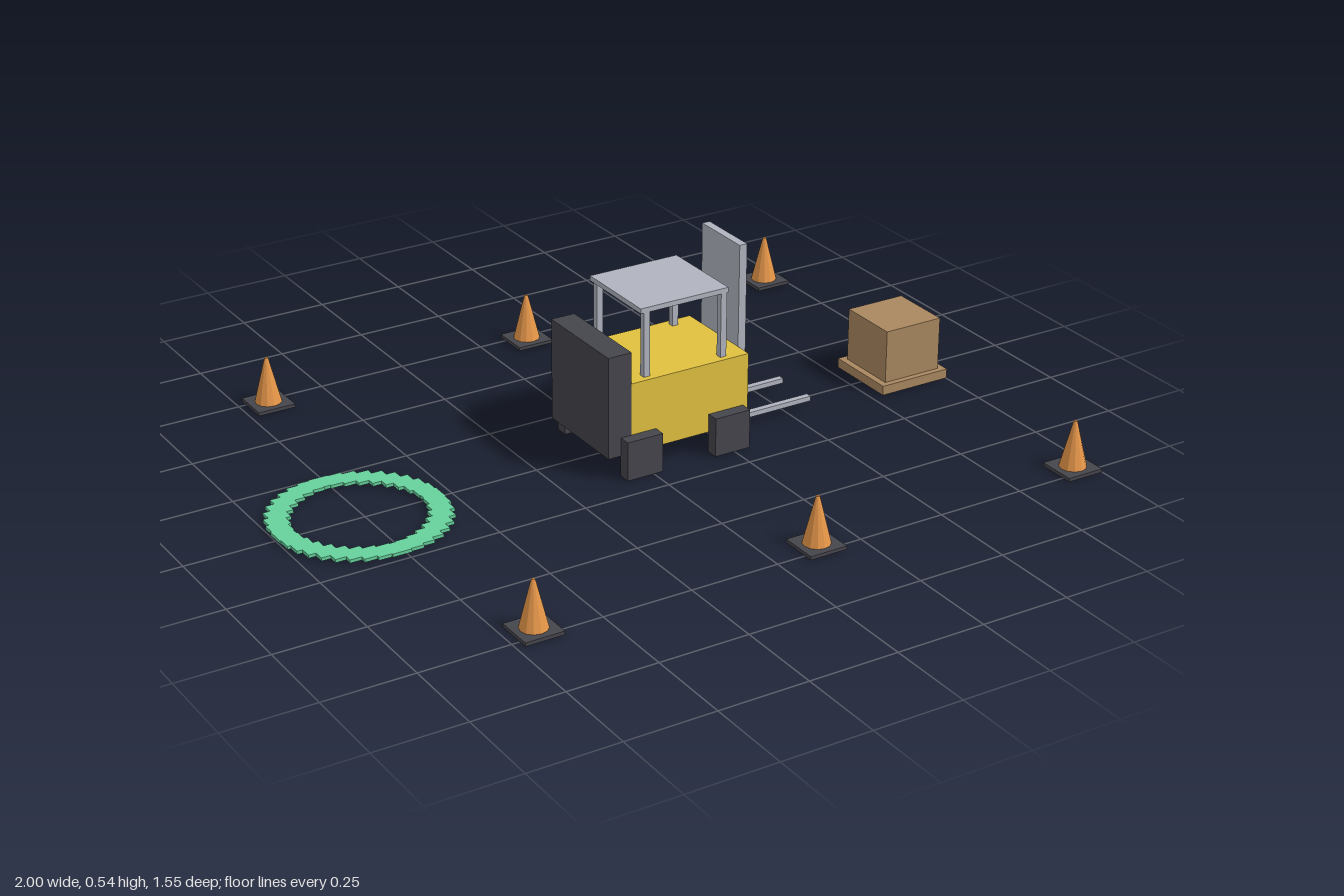
import * as THREE from 'three';

const mat = (color) => new THREE.MeshStandardMaterial({ color, flatShading: true });
const yellow = mat(0xe0c040), dark = mat(0x45454c), steel = mat(0xb0b4be);
const wood = mat(0xa98860), orange = mat(0xe8984a), green = mat(0x66d09c);

// Box given by its extents on each axis
function box(parent, name, material, [x0, x1], [y0, y1], [z0, z1]) {
  const mesh = new THREE.Mesh(new THREE.BoxGeometry(x1 - x0, y1 - y0, z1 - z0), material);
  mesh.position.set((x0 + x1) / 2, (y0 + y1) / 2, (z0 + z1) / 2);
  mesh.name = name;
  parent.add(mesh);
  return mesh;
}

function group(parent, name) {
  const g = new THREE.Group();
  g.name = name;
  parent.add(g);
  return g;
}

function buildForklift(parent) {
  const g = group(parent, 'forklift');
  box(g, 'body', yellow, [-0.1, 0.312], [0.058, 0.256], [-0.143, 0.143]);
  box(g, 'counterweight', dark, [-0.118, -0.048], [0.058, 0.345], [-0.144, 0.144]);
  box(g, 'mast', steel, [0.314, 0.337], [0.024, 0.543], [-0.09, 0.09]);
  box(g, 'roof', steel, [-0.01, 0.257], [0.437, 0.451], [-0.126, 0.126]);
  for (const s of [-1, 1]) {
    const side = (a, b) => (s > 0 ? [a, b] : [-b, -a]);
    // Square wheels, roof posts and fork on each side
    for (const x of [-0.08, 0.19]) box(g, 'wheel', dark, [x, x + 0.107], [0, 0.11], side(0.142, 0.178));
    for (const x of [0, 0.235]) box(g, 'roofPost', steel, [x, x + 0.018], [0.256, 0.437], side(0.108, 0.126));
    box(g, 'fork', steel, [0.337, 0.563], [0.028, 0.042], side(0.057, 0.075));
  }
}

function buildPallet(parent) {
  const g = group(parent, 'loadedPallet');
  box(g, 'pallet', wood, [0.782, 0.998], [0.003, 0.03], [-0.107, 0.107]);
  box(g, 'crate', wood, [0.801, 0.979], [0.03, 0.182], [-0.09, 0.09]);
}

function buildCone(parent, x, z) {
  const g = group(parent, 'trafficCone');
  box(g, 'coneBase', dark, [-0.054, 0.054], [0, 0.01], [-0.054, 0.054]);
  const cone = new THREE.Mesh(new THREE.CylinderGeometry(0.005, 0.037, 0.13, 12), orange);
  cone.name = 'cone';
  cone.position.y = 0.075;
  g.add(cone);
  g.position.set(x, 0, z);
}

// Floor ring of unrotated square tiles
function buildRing(parent) {
  const g = group(parent, 'floorRing');
  const count = 36, radius = 0.207, half = 0.027;
  for (let i = 0; i < count; i++) {
    const a = (i / count) * Math.PI * 2;
    const x = -0.766 + radius * Math.cos(a), z = radius * Math.sin(a);
    box(g, 'ringTile', green, [x - half, x + half], [0.004, 0.013], [z - half, z + half]);
  }
}

export function createModel() {
  const model = new THREE.Group();
  model.name = 'forkliftYard';
  buildForklift(model);
  buildPallet(model);
  buildRing(model);
  for (const x of [-0.674, 0.135, 0.945]) for (const z of [-0.722, 0.722]) buildCone(model, x, z);
  return model;
}
